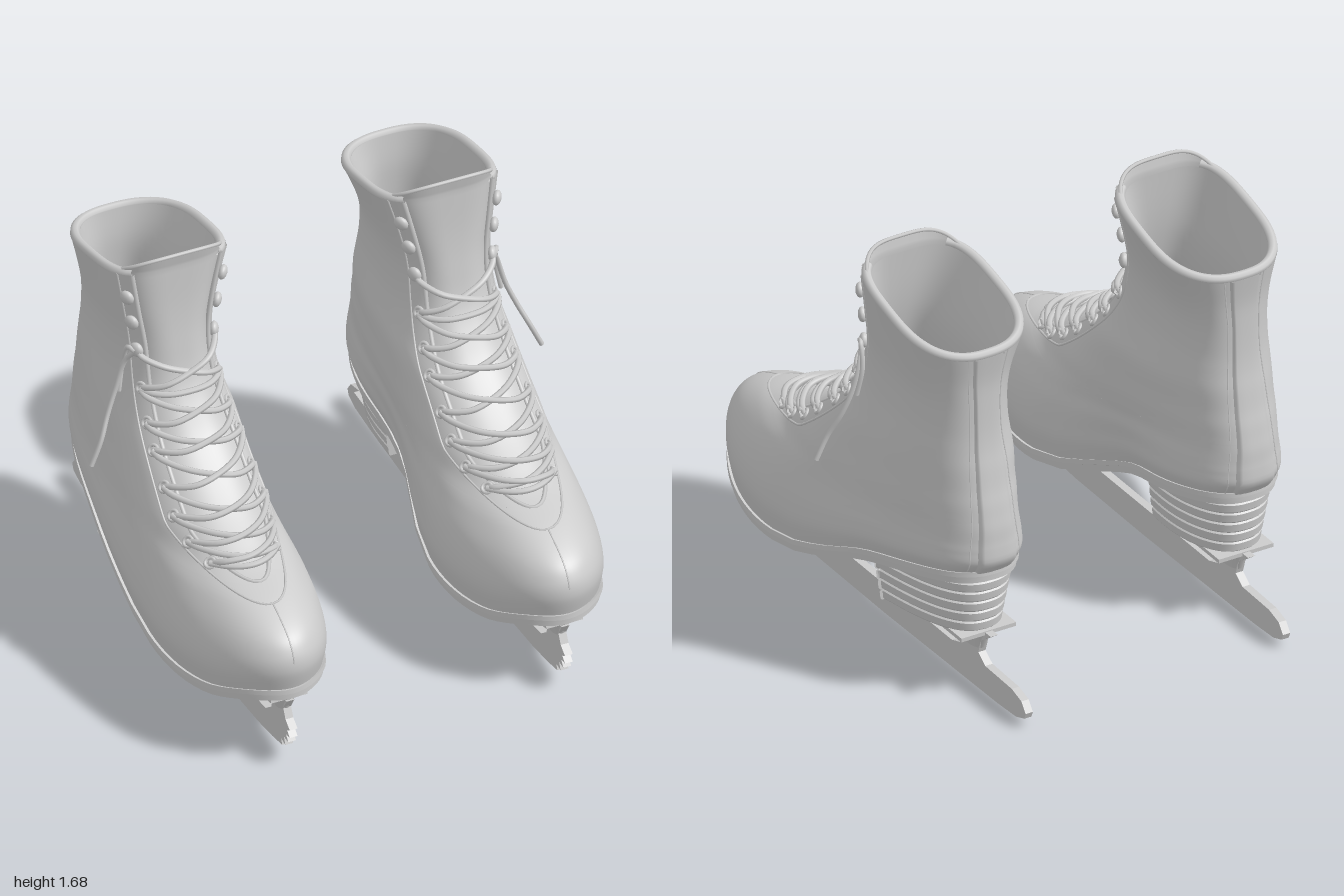
import * as THREE from 'three';
import { mergeVertices, toCreasedNormals } from 'three/addons/utils/BufferGeometryUtils.js';
import { ParametricGeometry } from 'three/addons/geometries/ParametricGeometry.js';

const mat = new THREE.MeshStandardMaterial({ color: 0xcccccc, side: THREE.DoubleSide });
const { sin, cos, abs, sign, PI, min, max, exp, sqrt, round } = Math;
const V = (x, y, z) => new THREE.Vector3(x, y, z);

// Boot rings from sole to collar:
// front z, front y, back z, back y, sole-curve share, outer width, inner width, widest z, front squareness
const RINGS = [
  [0.98, 0.37, -0.75, 0.57, 1, 0.30, 0.29, 0.35, 1],
  [1.00, 0.46, -0.785, 0.62, 0.9, 0.315, 0.305, 0.35, 1],
  [0.985, 0.53, -0.785, 0.67, 0.8, 0.31, 0.30, 0.33, 1],
  [0.93, 0.59, -0.78, 0.71, 0.6, 0.295, 0.285, 0.25, 1],
  [0.80, 0.645, -0.775, 0.76, 0.45, 0.28, 0.265, 0.15, 1],
  [0.62, 0.69, -0.765, 0.81, 0.3, 0.27, 0.255, 0.05, 1],
  [0.50, 0.745, -0.755, 0.86, 0.2, 0.262, 0.25, -0.02, 0.95],
  [0.36, 0.82, -0.74, 0.92, 0.1, 0.25, 0.24, -0.1, 0.9],
  [0.20, 0.93, -0.725, 1.0, 0, 0.235, 0.23, -0.2, 0.85],
  [0.10, 1.03, -0.71, 1.07, 0, 0.22, 0.21, -0.28, 0.8],
  [0.02, 1.15, -0.70, 1.15, 0, 0.205, 0.19, -0.33, 0.75],
  [-0.02, 1.3, -0.695, 1.26, 0, 0.2, 0.185, -0.36, 0.7],
  [-0.045, 1.45, -0.695, 1.36, 0, 0.215, 0.21, -0.38, 0.6],
  [-0.06, 1.63, -0.71, 1.47, 0, 0.24, 0.26, -0.4, 0.55],
];
const SOLE = [0, 0, -0.023, -0.094, -0.151, -0.147, -0.099, 0].map(v => [v]);
const TOP = 13, THROAT = 4.6;

// Smooth interpolation in a table of rows
function sample(table, t) {
  const n = table.length - 1;
  const i = max(0, min(n - 1, Math.floor(t))), f = max(0, min(1, t - i));
  const a = table[max(0, i - 1)], b = table[i], c = table[i + 1], d = table[min(n, i + 2)];
  return b.map((p, k) => p + 0.5 * f * (c[k] - a[k] + f * (2 * a[k] - 5 * p + 4 * c[k] - d[k]
    + f * (3 * (p - c[k]) + d[k] - a[k]))));
}
const pw = (v, e) => sign(v) * abs(v) ** e;

// Point on the boot: ring s, angle a (0 = front, positive = outer side), moved inward by inset
function P(s, a, inset = 0) {
  const [zf, yf, zb, yb, k, wo, wi, zm, ef] = sample(RINGS, s);
  const c = cos(a), n = sin(a), e = c > 0 ? ef : 0.8 + 0.2 * max(0, c);
  const z = zm + (c > 0 ? zf - inset - zm : zm - zb - inset) * pw(c, e);
  const ex = c > 0 ? ef : 0.8;
  let x = ((n > 0 ? wo : wi) - inset) * pw(n, ex);
  if (x < 0) x *= 1 - 0.3 * k * exp(-(((z + 0.12) / 0.3) ** 2));
  const u = max(0, min(1, (z - zb) / (zf - zb)));
  const y = yb + (yf - yb) * u + k * sample(SOLE, u * 7)[0]
    - inset * 0.8 * max(0, c) * exp(-(((s - 6) / 2.5) ** 2));
  return V(x, y, z);
}
const opening = s => 0.62 * sqrt(max(0, min(1, (s - THROAT) / 1.5)));
const stay = s => 0.95 * sqrt(max(0, min(1, (s - 4) / 2)));

function createSkate() {
  const g = new THREE.Group();
  const add = (name, geo, pos) => {
    const m = new THREE.Mesh(geo, mat);
    m.name = name;
    if (pos) m.position.copy(pos);
    g.add(m);
    return m;
  };
  // Surface from a rule f(u, v)
  const surface = (name, f, cols, rows, crease) => {
    let geo = new ParametricGeometry((u, v, t) => t.copy(f(u, v)), cols, rows);
    geo.deleteAttribute('normal');
    geo.deleteAttribute('uv');
    geo = mergeVertices(geo, 1e-5);
    if (crease) geo = toCreasedNormals(geo, crease);
    else geo.computeVertexNormals();
    return add(name, geo);
  };
  const tube = (name, pts, r, seg = 24, sides = 6) =>
    add(name, new THREE.TubeGeometry(new THREE.CatmullRomCurve3(pts), seg, r, sides));
  const path = (n, f) => Array.from({ length: n + 1 }, (_, i) => f(i / n));

  // Upper with an open front above the throat
  surface('bootUpper', (u, v) => {
    const s = v < 0.4 ? THROAT * v / 0.4 : THROAT + (TOP - THROAT) * ((v - 0.4) / 0.6) ** 2;
    const a0 = opening(s);
    return P(s, a0 + u * (2 * PI - 2 * a0));
  }, 88, 90);
  // Lining, closed by the insole in its first row
  surface('lining', (u, v) => {
    const p = P(1.5 + 11.5 * max(0, v - 0.025) / 0.975, u * 2 * PI, 0.035);
    if (v < 0.01) p.x = 0;
    return p;
  }, 56, 40, 0.8);
  // Tongue, rising above the collar
  surface('tongue', (u, v) => {
    const a = (u * 2 - 1) * 0.95, s = 4.2 + (TOP - 4.2) * min(1, v / 0.92);
    const p = P(s, a, 0.018), lift = max(0, v - 0.92) / 0.08;
    p.y += lift * 0.055 * cos(a * 1.4);
    p.z += lift * 0.01;
    return p;
  }, 32, 50);
  const lip = path(20, t => P(TOP, (t * 2 - 1) * 0.95, 0.022).add(V(0, 0.055 * cos((t * 2 - 1) * 1.33), 0.008)));
  tube('tongueEdge', lip, 0.008, 40);

  // Collar rim, throat edge, facing seam and back stay
  tube('collarRim', path(40, t => P(TOP, 0.62 + t * (2 * PI - 1.24), 0.017)), 0.019, 80, 8);
  const edge = (name, s0, span, amp, r, out) => tube(name, path(60, t => {
    const q = t * 2 - 1, s = s0 + (TOP - s0) * q * q;
    return P(s, sign(q) * amp * sqrt(min(1, (s - s0) / span)), out);
  }), r, 120, 5);
  edge('throatEdge', THROAT, 1.5, 0.62, 0.009, 0.004);
  edge('facingSeam', 4, 2, 0.95, 0.005, 0);
  surface('backStay', (u, v) => {
    const w = 2 * u - 1;
    return P(v * TOP, PI + w * 0.2, abs(w) > 0.95 ? 0.004 : -0.012);
  }, 12, 40);
  for (const w of [-0.27, 0.27]) tube('backSeam', path(20, t => P(t * TOP, PI + w)), 0.003, 40, 4);
  tube('toeSeam', path(8, t => P(1.5 + t * 2.5, 0)), 0.003, 20, 4);

  // Outsole following the curve of the boot
  const soleRows = [[0.03, 0, 1], [-0.012, 0.008, 1], [-0.014, -0.012, 1], [-0.004, -0.015, 1], [-0.004, -0.042, 1], [0, -0.042, 0]];
  surface('outsole', (u, v) => {
    const [inset, dy, sx] = soleRows[round(v * 5)];
    const p = P(0, u * 2 * PI, inset);
    return p.set(p.x * sx, p.y + dy, p.z);
  }, 72, 5, 0.6);

  // Stacked heel with grooves between its layers
  const LAYERS = 6, heelRows = [[0.28, 0.055, 0]];
  for (let i = 0; i < LAYERS; i++) {
    const y = 0.28 + i * 0.047, inset = 0.055 - i * 0.009;
    heelRows.push([y, inset + 0.008, 1], [y + 0.008, inset, 1], [y + 0.039, inset - 0.004, 1], [y + 0.047, inset + 0.006, 1]);
  }
  const hn = heelRows.length - 1;
  surface('heel', (u, v) => {
    const [y, inset, sx] = heelRows[round(v * hn)];
    const k = min(1, u / 0.9);
    const a = PI + 1.12 * (2 * k - 1);
    const p = P(0, a, inset), q = P(0, PI - 1.12, inset), b = P(0, PI + 1.12, inset);
    const x = u > 0.9 ? b.x + (q.x - b.x) * (u - 0.9) / 0.1 : p.x;
    return V(x * sx, y, min(-0.3, u > 0.9 ? -0.3 : p.z));
  }, 40, hn, 0.5);

  // Blade with toe pick and three posts, drawn in z and y
  const outline = [[-1, 0.07], [-0.99, 0.045], [-0.93, 0.025], [-0.8, 0.018], [0, 0.008], [0.5, 0.012], [0.7, 0.03], [0.83, 0.05], [0.92, 0.07],
    [0.91, 0.095], [0.95, 0.09], [0.935, 0.12], [0.975, 0.12], [0.955, 0.145], [0.99, 0.15], [0.965, 0.17], [0.99, 0.185],
    [0.95, 0.21], [0.93, 0.25], [0.96, 0.3], [0.82, 0.29], [0.84, 0.25], [0.82, 0.18], [0.77, 0.14], [0.71, 0.13],
    [0.55, 0.13], [0.5, 0.15], [0.49, 0.19], [0.53, 0.24], [0.35, 0.24], [0.39, 0.19], [0.38, 0.15], [0.33, 0.13],
    [-0.47, 0.13], [-0.53, 0.15], [-0.55, 0.2], [-0.5, 0.28], [-0.75, 0.28], [-0.68, 0.23], [-0.66, 0.17], [-0.71, 0.135],
    [-0.9, 0.13], [-0.97, 0.11]];
  const blade = new THREE.ExtrudeGeometry(new THREE.Shape(outline.map(p => new THREE.Vector2(...p))), { depth: 0.032, bevelEnabled: false });
  add('blade', blade.translate(0, 0, -0.016).rotateY(-PI / 2));

  // Flared posts and mounting plates
  for (const [z, y, h, len] of [[0.89, 0.275, 0.07, 0.065], [0.44, 0.205, 0.07, 0.085], [-0.61, 0.235, 0.09, 0.1]]) {
    const post = add('post', new THREE.CylinderGeometry(1, 0.6, h, 20), V(0, y, z));
    post.scale.set(0.05, 1, len);
  }
  const plate = (w, h, d, y, z, tilt) => {
    add('mountingPlate', new THREE.BoxGeometry(w, h, d), V(0, y, z)).rotation.x = tilt;
  };
  plate(0.27, 0.018, 0.3, 0.238, 0.47, 0);
  plate(0.15, 0.03, 0.16, 0.298, 0.87, -0.25);
  plate(0.24, 0.016, 0.32, 0.276, -0.55, 0);

  // Eyelets and hooks
  const holes = [5.1, 5.7, 6.45, 7.2, 8, 8.8, 9.8, 10.9], hooks = [10.9, 11.75, 12.4];
  const mid = s => (opening(s) + stay(s)) / 2;
  const normal = (s, a) => {
    const p = P(s, a);
    return P(s, a + 0.02).sub(p).cross(P(s + 0.05, a).sub(p)).normalize();
  };
  for (const side of [1, -1]) {
    const fix = (name, geo, s, out) => {
      const a = side * mid(s), m = add(name, geo, P(s, a, -out));
      m.quaternion.setFromUnitVectors(V(0, 0, 1), normal(s, a));
      return m;
    };
    for (const s of holes.slice(0, 7)) fix('eyelet', new THREE.TorusGeometry(0.02, 0.007, 6, 16), s, 0.003);
    for (const s of hooks) fix('laceHook', new THREE.SphereGeometry(0.03, 14, 10), s, 0.012).scale.z = 0.6;

    // Crossing laces
    for (let i = 0; i < 7; i++) {
      const s0 = holes[i], s1 = holes[i + 1], at = t => s0 + (s1 - s0) * t, up = side > 0 ? 0.012 : 0;
      tube('lace', [P(s0, side * mid(s0), 0.002), P(at(0.12), side * mid(s0) * 0.85, -0.018), P(at(0.3), side * 0.3, -0.022 - up), P(at(0.5), 0, -0.022 - up),
        P(at(0.7), -side * 0.3, -0.02 - up), P(at(0.88), -side * mid(s1) * 0.85, -0.018), P(s1, -side * mid(s1), -0.012)], 0.0125, 26);
    }
  }
  // Straight laces at the lowest eyelets and below the hooks
  for (const s of [holes[0], holes[6]])
    tube('lace', path(6, t => P(s, (t * 2 - 1) * mid(s), -0.014)), 0.0125, 26);
  // Loose lace end on the outer side
  tube('laceEnd', [P(10.9, mid(10.9), -0.02), V(0.2, 1.22, -0.11), V(0.235, 1.1, -0.115), V(0.275, 1.0, -0.1), V(0.315, 0.91, -0.07), V(0.36, 0.81, -0.06)], 0.01, 30);
  tube('laceLoop', [P(10.9, mid(10.9), -0.025), V(0.19, 1.29, -0.1), V(0.2, 1.2, -0.13), V(0.22, 1.08, -0.12)], 0.01, 20);
  return g;
}

export function createModel() {
  const model = new THREE.Group();
  model.name = 'iceSkates';
  const left = createSkate(), right = createSkate();
  left.name = 'leftSkate';
  left.position.x = 0.545;
  right.name = 'rightSkate';
  right.position.x = -0.585;
  right.scale.x = -1;
  model.add(left, right);
  return model;
}
